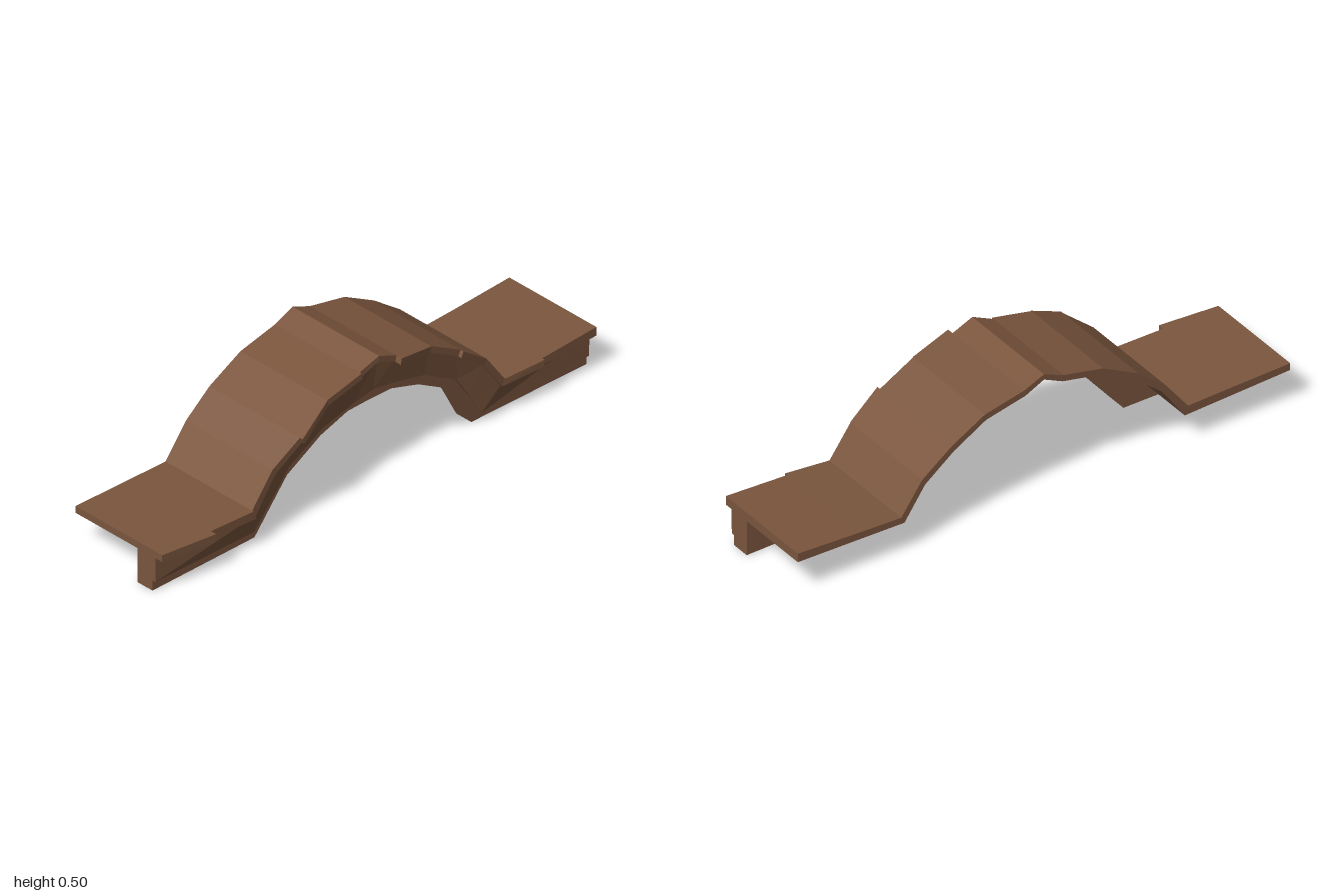
import * as THREE from 'three';

// Joins equal rings of [x, y, z] points, given from left to right, into a closed flat-sided solid.
// Each ring runs: top back, bottom back, bottom front, ... top front.
function loft(rings) {
  const pos = [];
  const n = rings[0].length, last = rings[rings.length - 1];
  const tri = (a, b, c) => pos.push(...a, ...b, ...c);
  for (let i = 0; i < rings.length - 1; i++) {
    for (let j = 0; j < n; j++) {
      const k = (j + 1) % n;
      const a = rings[i][j], b = rings[i][k], c = rings[i + 1][j], d = rings[i + 1][k];
      tri(a, c, d);
      tri(a, d, b);
    }
  }
  for (let j = 1; j < n - 1; j++) {
    tri(rings[0][0], rings[0][j], rings[0][j + 1]);
    tri(last[0], last[j + 1], last[j]);
  }
  const geo = new THREE.BufferGeometry();
  geo.setAttribute('position', new THREE.Float32BufferAttribute(pos, 3));
  geo.computeVertexNormals();
  return geo;
}

export function createModel() {
  const model = new THREE.Group();
  model.name = 'archedCanopy';
  const wood = new THREE.MeshStandardMaterial({ color: 0x7b563e });
  wood.name = 'brown wood';
  const add = (name, rings) => {
    const mesh = new THREE.Mesh(loft(rings), wood);
    mesh.name = name;
    model.add(mesh);
  };

  // Upper and lower outline of the boards
  const top = [
    [-1, 0.162], [-0.775, 0.157], [-0.585, 0.152], [-0.492, 0.272], [-0.383, 0.36],
    [-0.24, 0.435], [-0.08, 0.47], [0, 0.504], [0.08, 0.47], [0.24, 0.435],
    [0.375, 0.36], [0.495, 0.271], [0.58, 0.152], [0.75, 0.158], [1, 0.17],
  ];
  const under = [
    [-1, 0.135], [-0.775, 0.126], [-0.572, 0.118], [-0.48, 0.248], [-0.373, 0.338],
    [-0.235, 0.412], [-0.075, 0.447], [0, 0.483], [0.075, 0.447], [0.235, 0.412],
    [0.365, 0.338], [0.483, 0.248], [0.567, 0.127], [0.75, 0.131], [1, 0.136],
  ];
  // Front edge of each board: z at its left and right end
  const fronts = [
    [0.193, 0.218], [0.193, 0.2], [0.193, 0.193], [0.193, 0.212], [0.225, 0.195],
    [0.193, 0.193], [0.183, 0.193], [0.193, 0.193], [0.219, 0.195], [0.193, 0.193],
    [0.208, 0.195], [0.193, 0.193], [0.193, 0.207], [0.195, 0.195],
  ];
  const back = -0.224;
  fronts.forEach((edge, i) => {
    add('roofBoard' + (i + 1), edge.map((z, e) => {
      const t = top[i + e], u = under[i + e];
      return [[...t, back], [...u, back], [...u, z], [...t, z]];
    }));
  });

  // Arched beam under the boards, with a recessed lower lip
  const beamTop = under.filter((p, i) => i !== 1 && i !== 13);
  const lip = [
    [-1, 0.04], [-0.55, 0.04], [-0.47, 0.132], [-0.39, 0.225], [-0.235, 0.31],
    [-0.1, 0.343], [0, 0.36], [0.1, 0.343], [0.235, 0.31], [0.385, 0.225],
    [0.445, 0.132], [0.497, 0.04], [1, 0.04],
  ];
  const base = [
    [-1, 0], [-0.53, 0], [-0.455, 0.09], [-0.38, 0.18], [-0.225, 0.268],
    [-0.1, 0.308], [0, 0.31], [0.1, 0.308], [0.225, 0.268], [0.38, 0.18],
    [0.425, 0.095], [0.47, 0.008], [1, 0],
  ];
  add('archedBeam', base.map((b, i) => {
    const end = i === 0 || i === base.length - 1;
    const zLip = 0.146, zMid = end ? 0.16 : 0.166, zTop = end ? 0.161 : 0.184, zBack = 0.073;
    const t = beamTop[i], l = lip[i];
    return [[...t, zBack], [...b, zBack], [...b, zLip], [...l, zLip], [...l, zMid], [...t, zTop]];
  }));

  return model;
}
